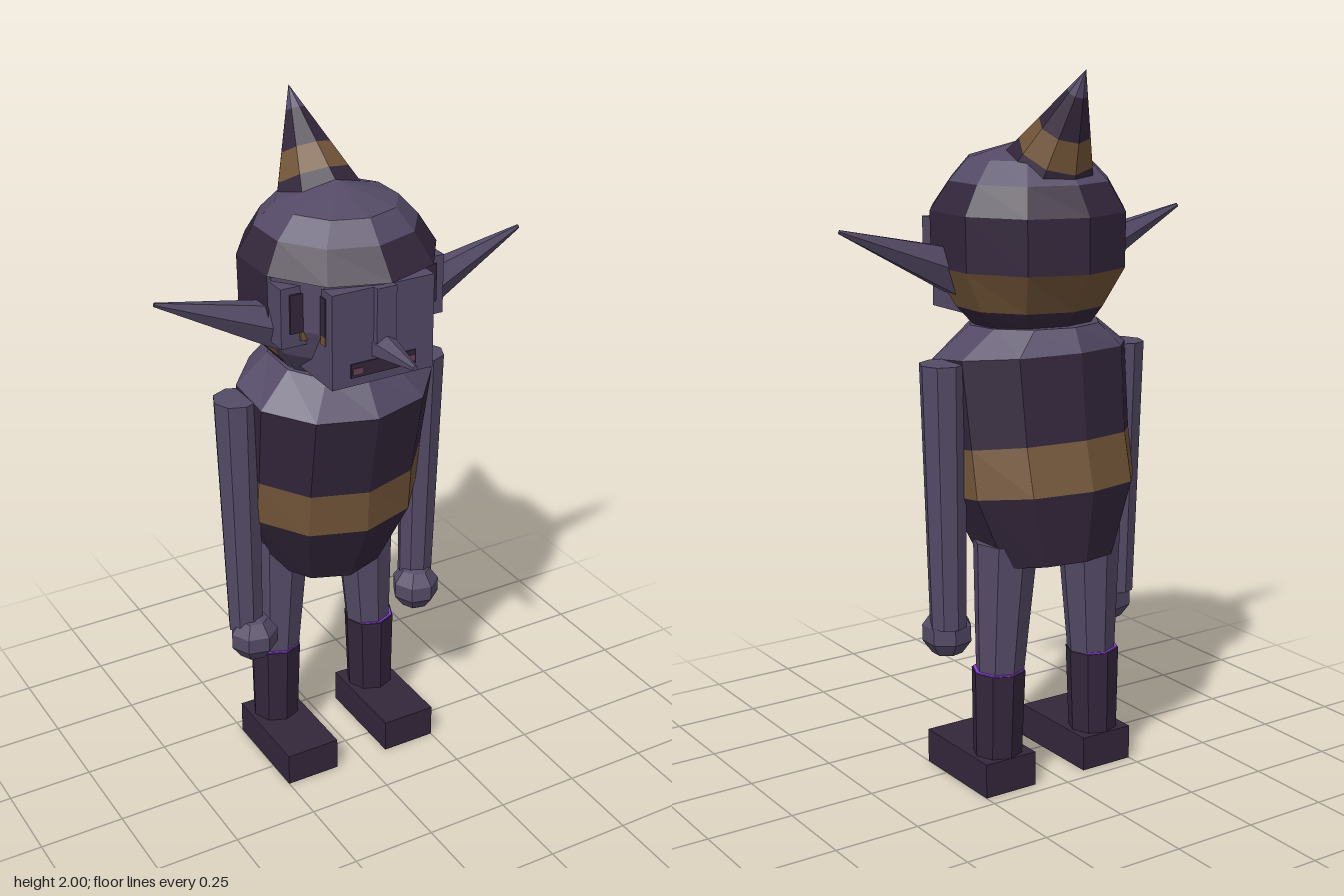
import * as THREE from 'three';

const mat = (name, color) => new THREE.MeshStandardMaterial({ name, color, flatShading: true });

export function createModel() {
  const skin = mat('dusky lavender', 0x544a66);
  const dark = mat('dark plum', 0x33263b);
  const brown = mat('ochre brown', 0x735538);
  const violet = mat('violet trim', 0x8a3fe0);
  const mouthPink = mat('dull rose', 0x6a4058);
  const model = new THREE.Group();
  model.name = 'figure';

  function add(name, geo, material, parent = model) {
    const mesh = new THREE.Mesh(geo, material);
    mesh.name = name;
    parent.add(mesh);
    return mesh;
  }
  function box(name, material, x0, x1, y0, y1, z0, z1, parent) {
    const geo = new THREE.BoxGeometry(x1 - x0, y1 - y0, z1 - z0);
    geo.translate((x0 + x1) / 2, (y0 + y1) / 2, (z0 + z1) / 2);
    return add(name, geo, material, parent);
  }

  // A ring is [front y, front z, back y, back z, half width]; angle step 0 is the front
  const SIDES = 10;
  function ringPoint([fy, fz, by, bz, rx], k) {
    const t = (k / SIDES) * Math.PI * 2, c = Math.cos(t);
    return [rx * Math.sin(t), (fy + by) / 2 + (c * (fy - by)) / 2, (fz + bz) / 2 + (c * (fz - bz)) / 2];
  }
  function strip(name, material, upper, lower, from = 0, to = SIDES) {
    const pos = [];
    for (let k = from; k < to; k++) {
      const a = ringPoint(upper, k), b = ringPoint(upper, k + 1);
      const c = ringPoint(lower, k), d = ringPoint(lower, k + 1);
      pos.push(...a, ...c, ...d, ...a, ...d, ...b);
    }
    const geo = new THREE.BufferGeometry();
    geo.setAttribute('position', new THREE.Float32BufferAttribute(pos, 3));
    geo.computeVertexNormals();
    return add(name, geo, material);
  }
  function loft(name, rings, materials, from, to) {
    materials.forEach((m, i) => strip(name, m, rings[i], rings[i + 1], from, to));
  }

  // Torso: leaning barrel with a belt stripe
  loft('torso', [
    [1.31, -0.08, 1.31, -0.08, 0],
    [1.30, 0.12, 1.32, -0.27, 0.18],
    [1.2, 0.185, 1.255, -0.3, 0.287],
    [0.95, 0.137, 1.02, -0.325, 0.278],
    [0.82, 0.127, 0.885, -0.36, 0.278],
    [0.62, 0.03, 0.68, -0.33, 0.19],
    [0.65, -0.15, 0.65, -0.15, 0],
  ], [skin, skin, dark, brown, dark, dark]);

  // Head: domed skull, dark brow row and striped back
  const brow = [1.62, 0.245, 1.62, -0.333, 0.273];
  loft('skullCap', [
    [1.81, -0.045, 1.81, -0.045, 0],
    [1.76, 0.13, 1.76, -0.22, 0.168],
    [1.7, 0.18, 1.7, -0.28, 0.225],
    brow,
    [1.6, 0.17, 1.6, -0.3, 0.25],
  ], [skin, skin, dark, dark]);
  const low = [1.36, 0.14, 1.36, -0.26, 0.215];
  loft('backOfHead', [brow, [1.47, 0.245, 1.47, -0.333, 0.27], low, [1.31, 0.1, 1.31, -0.23, 0.17]],
    [dark, brown, dark], 2, 8);
  loft('jaw', [
    [1.61, 0.2, 1.61, -0.28, 0.255],
    [1.47, 0.2, 1.47, -0.28, 0.255],
    [1.38, 0.17, 1.38, -0.24, 0.215],
    [1.305, 0.1, 1.305, -0.22, 0.16],
    [1.305, -0.05, 1.305, -0.05, 0],
  ], [skin, skin, skin, skin]);

  // Face block, mouth and nose
  box('face', skin, -0.155, 0.155, 1.33, 1.6, 0, 0.203);
  box('noseBridge', skin, -0.03, 0.03, 1.43, 1.6, 0.18, 0.22);
  box('mouth', dark, -0.1, 0.1, 1.355, 1.395, 0.2, 0.207);
  const nose = new THREE.CylinderGeometry(0.008, 0.042, 0.17, 6);
  nose.rotateX(Math.PI / 2).translate(0, 1.425, 0.277);
  add('nose', nose, skin);

  // Pointed cap, tilted backwards, in coloured bands
  const hat = new THREE.Group();
  hat.name = 'pointedCap';
  hat.position.set(0, 1.76, -0.165);
  hat.rotation.x = -Math.atan2(0.145, 0.24);
  const hatLength = 0.28, hatRadius = 0.115;
  [[-0.2, 0.08, dark], [0.08, 0.36, brown], [0.36, 0.75, dark], [0.75, 1, skin]].forEach(([f0, f1, m]) => {
    const geo = new THREE.CylinderGeometry(hatRadius * (1 - f1), hatRadius * (1 - f0), hatLength * (f1 - f0), 8);
    geo.translate(0, (hatLength * (f0 + f1)) / 2, 0);
    add('capBand', geo, m, hat);
  });
  model.add(hat);

  for (const s of [-1, 1]) {
    const side = new THREE.Group();
    side.name = s > 0 ? 'leftSide' : 'rightSide';
    model.add(side);
    const sideBox = (name, m, x0, x1, ...rest) =>
      box(name, m, Math.min(s * x0, s * x1), Math.max(s * x0, s * x1), ...rest, side);
    // Tapered tube between two points
    const limb = (name, m, a, b, ra, rb, n) => {
      const A = new THREE.Vector3(...a), B = new THREE.Vector3(...b);
      A.x *= s;
      B.x *= s;
      const mesh = add(name, new THREE.CylinderGeometry(rb, ra, A.distanceTo(B), n), m, side);
      mesh.position.copy(A).lerp(B, 0.5);
      mesh.quaternion.setFromUnitVectors(new THREE.Vector3(0, 1, 0), B.sub(A).normalize());
      return mesh;
    };

    // Cheek, eye slot and mouth corner
    sideBox('cheek', skin, 0.15, 0.25, 1.43, 1.6, -0.03, 0.1);
    sideBox('eyeSlot', dark, 0.175, 0.225, 1.47, 1.58, 0.098, 0.106);
    sideBox('eye', brown, 0.17, 0.195, 1.445, 1.47, 0.098, 0.107);
    sideBox('templeSlot', dark, 0.151, 0.158, 1.47, 1.58, 0.11, 0.17);
    sideBox('templeMark', brown, 0.151, 0.158, 1.445, 1.47, 0.145, 0.17);
    sideBox('mouthCorner', mouthPink, 0.065, 0.095, 1.365, 1.382, 0.203, 0.209);

    // Long ear
    const ear = limb('ear', skin, [0.2, 1.455, 0.005], [0.562, 1.588, 0], 0.072, 0.006, 6);
    ear.scale.z = 0.85;

    // Arm and hand
    limb('arm', skin, [0.29, 0.48, -0.08], [0.3, 1.225, -0.08], 0.052, 0.066, 8);
    const hand = add('hand', new THREE.SphereGeometry(0.074, 7, 5), skin, side);
    hand.position.set(s * 0.278, 0.455, -0.055);

    // Leg, trim, boot shaft and foot
    limb('leg', skin, [0.158, 0.345, -0.14], [0.142, 0.72, -0.145], 0.069, 0.092, 8);
    limb('bootTrim', violet, [0.163, 0.343, -0.14], [0.163, 0.349, -0.14], 0.074, 0.074, 8);
    limb('bootShaft', dark, [0.167, 0.08, -0.14], [0.163, 0.345, -0.14], 0.07, 0.077, 8);
    sideBox('foot', dark, 0.085, 0.25, 0, 0.1, -0.21, 0.1);
  }
  return model;
}
